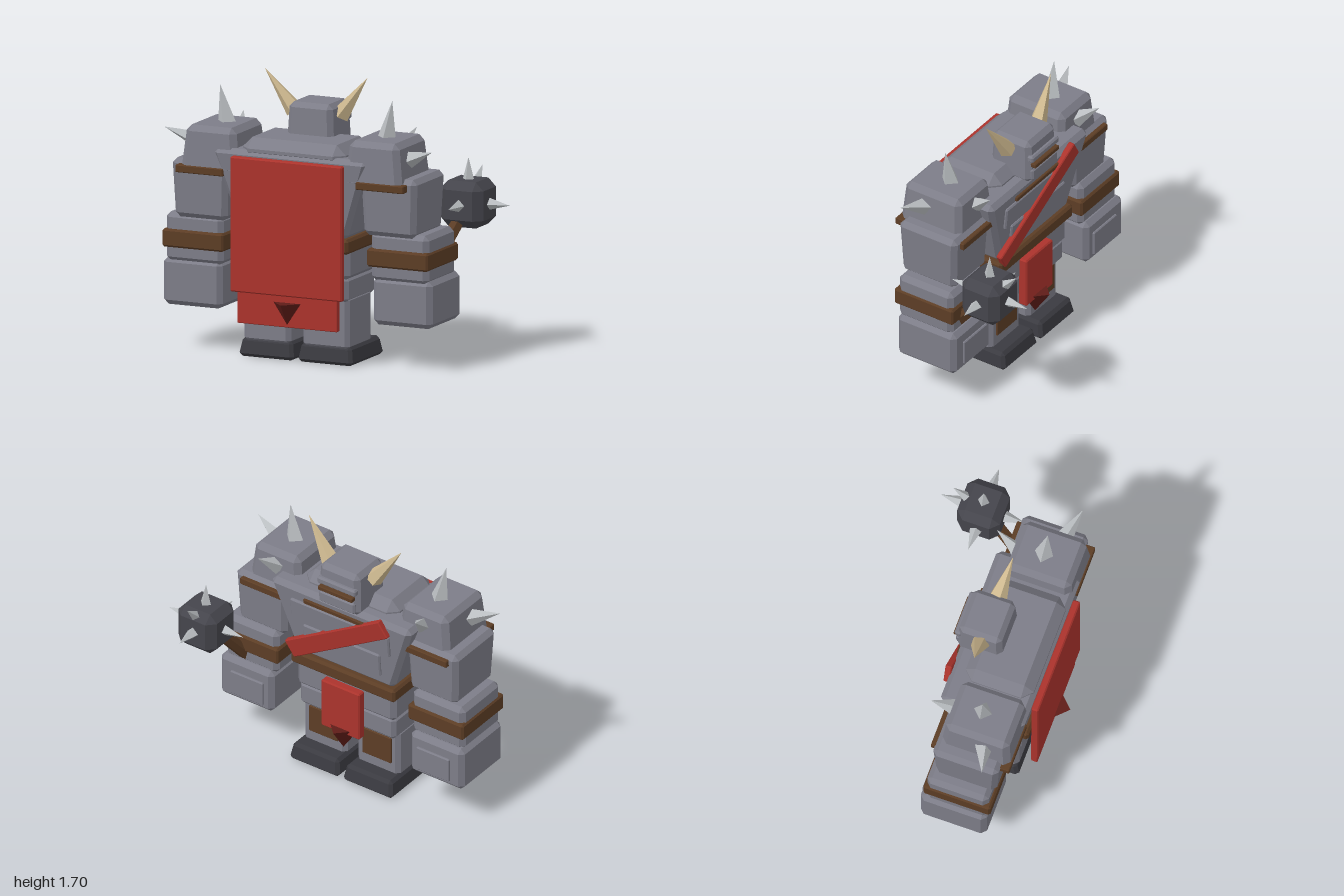
import * as THREE from 'three';
import { ConvexGeometry } from 'three/addons/geometries/ConvexGeometry.js';

const mat = (name, color) => {
  const m = new THREE.MeshStandardMaterial({ color });
  m.name = name;
  return m;
};

export function createModel() {
  const stone = mat('stone grey', 0x7d7d88);
  const iron = mat('dark iron', 0x45454c);
  const sole = mat('boot black', 0x3a3a40);
  const red = mat('red cloth', 0xab332c);
  const darkRed = mat('dark red', 0x5f1c18);
  const leather = mat('brown leather', 0x5c3d25);
  const steel = mat('spike steel', 0xb9bdc0);
  const horn = mat('horn tan', 0xcdb88f);

  const model = new THREE.Group();
  model.name = 'armouredGolem';
  const body = new THREE.Group();
  body.name = 'body';
  body.position.x = -0.11;
  model.add(body);

  const add = (name, geo, m, parent = body) => {
    const mesh = new THREE.Mesh(geo, m);
    mesh.name = name;
    parent.add(mesh);
    return mesh;
  };

  // Chamfered block spanning the given ranges; bx and bz scale its lower end, tx and tz its upper end
  function block(name, m, [x0, x1], [y0, y1], [z0, z1], c = 0.02, { bx = 1, bz = 1, tx = 1, tz = 1 } = {}, parent = body) {
    const h = [(x1 - x0) / 2, (y1 - y0) / 2, (z1 - z0) / 2];
    const pts = [];
    for (const sx of [-1, 1]) for (const sy of [-1, 1]) for (const sz of [-1, 1]) {
      const kx = sy > 0 ? tx : bx, kz = sy > 0 ? tz : bz;
      for (let a = 0; a < 3; a++) {
        const i = [c, c, c];
        i[a] = 0;
        pts.push(new THREE.Vector3(sx * (h[0] * kx - i[0]), sy * (h[1] - i[1]), sz * (h[2] * kz - i[2])));
      }
    }
    const mesh = add(name, new ConvexGeometry(pts), m, parent);
    mesh.position.set((x0 + x1) / 2, (y0 + y1) / 2, (z0 + z1) / 2);
    return mesh;
  }

  // Pyramid spike running from a base point to a tip
  function spike(name, m, base, tip, r, parent = body, sides = 4) {
    const a = new THREE.Vector3(...base), b = new THREE.Vector3(...tip);
    const dir = b.clone().sub(a);
    const geo = new THREE.ConeGeometry(r, dir.length(), sides).toNonIndexed();
    geo.computeVertexNormals();
    const mesh = add(name, geo, m, parent);
    mesh.position.copy(a).add(b).multiplyScalar(0.5);
    mesh.quaternion.setFromUnitVectors(new THREE.Vector3(0, 1, 0), dir.normalize());
    return mesh;
  }

  // Torso
  block('hips', stone, [-0.36, 0.36], [0.52, 0.72], [-0.03, 0.38], 0.03);
  block('lowerHips', stone, [-0.35, 0.35], [0.38, 0.54], [-0.015, 0.37], 0.025);
  block('belt', leather, [-0.38, 0.38], [0.69, 0.78], [-0.06, 0.43], 0.015);
  block('chest', stone, [-0.51, 0.51], [0.77, 1.27], [-0.085, 0.445], 0.03, { bx: 0.71, bz: 0.83 });
  block('collar', stone, [-0.34, 0.34], [1.2, 1.34], [0.0, 0.43], 0.06);

  // Chest front, tilted with the chest face
  const front = new THREE.Group();
  front.name = 'chestFront';
  front.position.set(0, 1.02, -0.06);
  front.rotation.x = -0.09;
  body.add(front);
  block('upperChestPlate', stone, [-0.36, 0.36], [0.01, 0.16], [-0.02, 0.02], 0.008, {}, front);
  block('lowerChestPlate', stone, [-0.28, 0.28], [-0.17, -0.01], [-0.015, 0.02], 0.008, {}, front);
  block('chestStrap', leather, [-0.26, 0.26], [0.165, 0.195], [-0.02, 0.02], 0.004, {}, front);
  const sash = block('sash', red, [-0.42, 0.42], [-0.06, 0.06], [-0.03, 0.01], 0.006, {}, front);
  sash.position.set(0.02, 0, -0.017);
  sash.rotation.z = -0.56;

  // Head with visor slot
  block('head', stone, [-0.155, 0.155], [1.25, 1.53], [-0.11, 0.18], 0.03, { tx: 0.93, tz: 0.93 });
  block('brow', stone, [-0.14, 0.14], [1.4, 1.445], [-0.125, -0.08], 0.01);
  block('visorSlot', leather, [-0.125, 0.125], [1.36, 1.39], [-0.135, -0.09], 0.005);
  block('jaw', stone, [-0.13, 0.13], [1.27, 1.345], [-0.12, -0.08], 0.01);

  // Cape and tabard with dark points
  block('cape', red, [-0.37, 0.37], [0.415, 1.235], [0.445, 0.49], 0.008);
  block('lowerCape', red, [-0.33, 0.33], [0.225, 0.65], [0.43, 0.47], 0.004);
  block('tabard', red, [-0.14, 0.14], [0.34, 0.67], [-0.08, -0.02], 0.008);
  spike('capePoint', darkRed, [0, 0.375, 0.455], [0, 0.22, 0.455], 0.105);
  spike('tabardPoint', darkRed, [0, 0.375, -0.045], [0, 0.22, -0.045], 0.105);

  // Paired parts
  for (const s of [1, -1]) {
    const side = s > 0 ? 'left' : 'right';
    const span = (a, b) => (s > 0 ? [a, b] : [-b, -a]);
    const part = (name, m, x, ...rest) => block(side + name, m, span(...x), ...rest);

    // Leg
    part('Foot', sole, [0.015, 0.375], [0, 0.115], [-0.08, 0.365], 0.02, { tx: 0.93, tz: 0.93 });
    part('Shin', stone, [0.04, 0.35], [0.09, 0.42], [0.03, 0.355], 0.025);
    part('KneePlate', leather, [0.09, 0.3], [0.18, 0.36], [0.02, 0.06], 0.004);

    // Arm
    part('Pauldron', stone, [0.35, 0.73], [1.1, 1.385], [0.0, 0.435], 0.035, { tx: 0.87, tz: 0.93 });
    part('ArmStrap', leather, [0.44, 0.755], [1.097, 1.143], [-0.05, 0.445], 0.005);
    part('UpperArm', stone, [0.44, 0.81], [0.81, 1.17], [-0.025, 0.39], 0.03, { bx: 0.93, bz: 0.93 });
    part('Forearm', stone, [0.49, 0.87], [0.53, 0.83], [-0.04, 0.35], 0.03);
    part('ForearmBand', leather, [0.475, 0.88], [0.62, 0.73], [-0.055, 0.37], 0.012);
    part('Fist', stone, [0.5, 0.89], [0.265, 0.555], [-0.075, 0.345], 0.03);
    part('KnucklePlate', stone, [0.56, 0.8], [0.31, 0.47], [-0.088, -0.06], 0.006);

    // Shoulder spikes and horn
    spike(side + 'TopSpike', steel, [s * 0.53, 1.375, 0.2], [s * 0.57, 1.605, 0.21], 0.06);
    spike(side + 'FrontSpike', steel, [s * 0.53, 1.28, 0.03], [s * 0.575, 1.39, -0.115], 0.055);
    spike(side + 'OuterSpike', steel, [s * 0.7, 1.27, 0.265], [s * 0.885, 1.34, 0.32], 0.055);
    spike(side + 'Horn', horn, [s * 0.155, 1.455, 0.045], [s * 0.34, 1.7, 0.075], 0.058, body, 5);
  }

  // Mace held in the left fist
  const mace = new THREE.Group();
  mace.name = 'mace';
  mace.position.set(0.72, 0.925, -0.29);
  model.add(mace);
  block('maceHead', iron, [-0.14, 0.14], [-0.14, 0.14], [-0.135, 0.135], 0.05, {}, mace);
  const grip = new THREE.Vector3(-0.135, -0.515, 0.42);
  const handleGeo = new THREE.CylinderGeometry(0.042, 0.042, grip.length(), 6).toNonIndexed();
  handleGeo.computeVertexNormals();
  const handle = add('maceHandle', handleGeo, leather, mace);
  handle.position.copy(grip).multiplyScalar(0.5);
  handle.quaternion.setFromUnitVectors(new THREE.Vector3(0, 1, 0), grip.clone().normalize());
  const dirs = [[1, 0, 0], [-1, 0, 0], [0, 1, 0], [0, 0, 1], [0, 0, -1], [0, 0.71, -0.71]];
  for (const d of dirs) {
    spike('maceSpike', steel, d.map(v => v * 0.12), d.map(v => v * 0.272), 0.042, mace);
  }

  return model;
}
